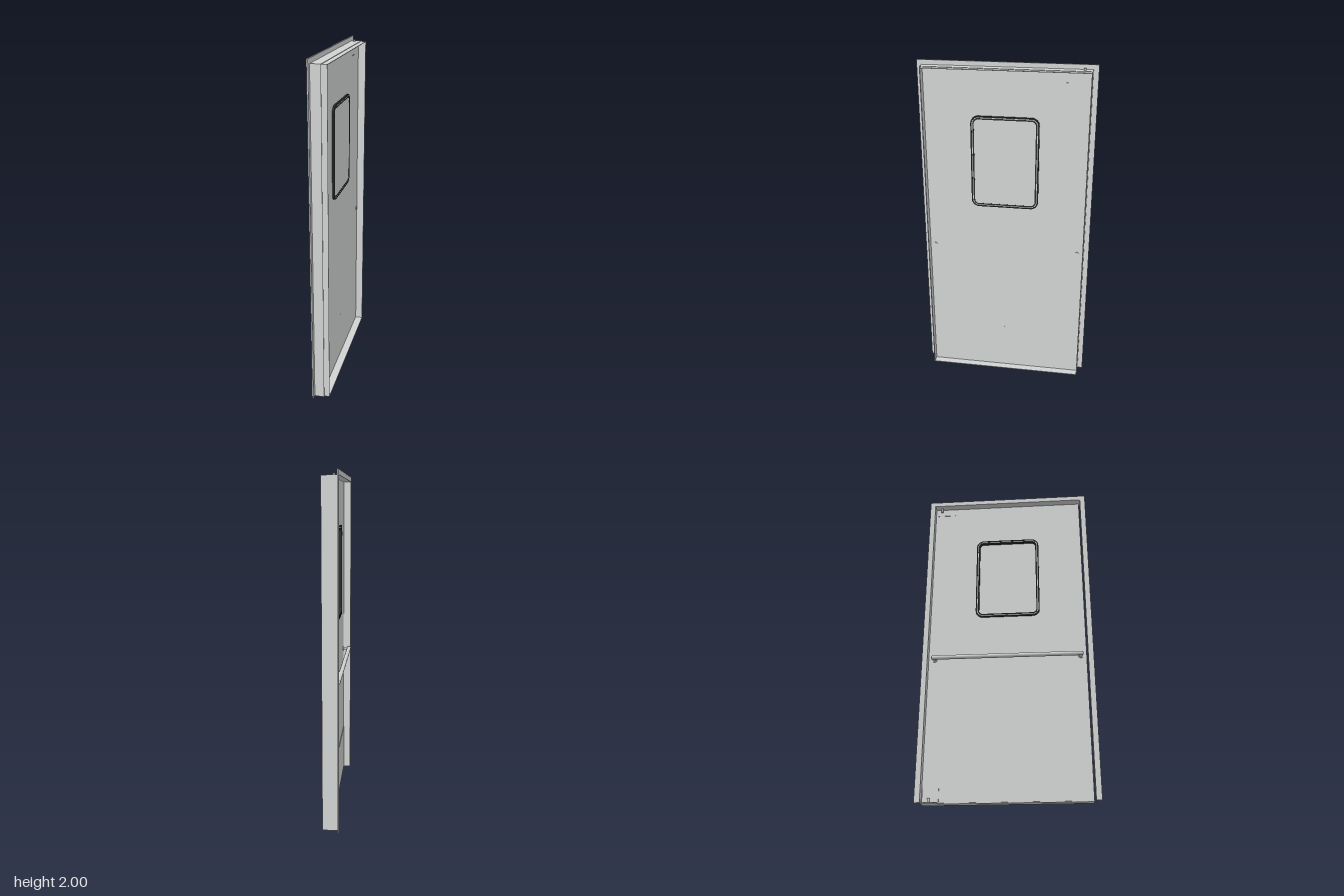
import * as THREE from 'three';

export function createModel() {
  const model = new THREE.Group();
  const material = (name, color) => {
    const m = new THREE.MeshStandardMaterial({ color });
    m.name = name;
    return m;
  };
  const steel = material('satin steel', 0xd1d3d2);
  const rubber = material('black rubber', 0x2c2c2c);

  const add = (name, geometry, parent, mat = steel) => {
    const mesh = new THREE.Mesh(geometry, mat);
    mesh.name = name;
    parent.add(mesh);
    return mesh;
  };
  const group = (name) => {
    const g = new THREE.Group();
    g.name = name;
    model.add(g);
    return g;
  };
  // Box given by its minimum and maximum on each axis
  const box = (name, x0, x1, y0, y1, z0, z1, parent) => {
    const mesh = add(name, new THREE.BoxGeometry(x1 - x0, y1 - y0, z1 - z0), parent);
    mesh.position.set((x0 + x1) / 2, (y0 + y1) / 2, (z0 + z1) / 2);
    return mesh;
  };
  // Cylinder along one axis
  const rod = (name, axis, r, length, x, y, z, parent) => {
    const g = new THREE.CylinderGeometry(r, r, length, 24);
    if (axis === 'x') g.rotateZ(Math.PI / 2);
    if (axis === 'z') g.rotateX(Math.PI / 2);
    const mesh = add(name, g, parent);
    mesh.position.set(x, y, z);
    return mesh;
  };
  // Rounded rectangle centred on (0, cy)
  const roundedRect = (Type, w, h, r, cy) => {
    const p = new Type();
    const x = w / 2 - r, y = h / 2 - r;
    p.absarc(x, cy + y, r, 0, Math.PI / 2);
    p.absarc(-x, cy + y, r, Math.PI / 2, Math.PI);
    p.absarc(-x, cy - y, r, Math.PI, Math.PI * 1.5);
    p.absarc(x, cy - y, r, Math.PI * 1.5, Math.PI * 2);
    p.closePath();
    return p;
  };
  // Plate cut from a shape drawn in (-z, y), spanning x0 to x1
  const plate = (name, shape, x0, x1, parent, mat) => {
    const g = new THREE.ExtrudeGeometry(shape, { depth: x1 - x0, bevelEnabled: false, curveSegments: 8 });
    g.rotateY(Math.PI / 2);
    add(name, g, parent, mat).position.x = x0;
  };

  // Fixed frame: sheet jambs and header, with a flange around the back edge
  const frame = group('frame');
  for (const s of [-1, 1]) {
    const span = (a, b) => (s > 0 ? [a, b] : [-b, -a]);
    box('jamb', -0.046, 0.02, 0, 1.973, ...span(0.4825, 0.485), frame);
    box('jambFlange', -0.046, -0.038, 0, 2, ...span(0.4835, 0.515), frame);
  }
  box('header', -0.046, 0.02, 1.9705, 1.973, -0.485, 0.485, frame);
  box('headerFlange', -0.046, -0.038, 1.9715, 2, -0.4835, 0.4835, frame);

  // Door leaf: a thin sheet with a folded rim on its +x side
  const door = group('door');
  const zBack = -0.482, zFront = 0.475, top = 1.97, windowY = 1.423;
  const leaf = new THREE.Shape();
  leaf.moveTo(-zFront, 0);
  leaf.lineTo(-zBack, 0);
  leaf.lineTo(-zBack, top);
  leaf.lineTo(-zFront, top);
  leaf.closePath();
  leaf.holes.push(roundedRect(THREE.Path, 0.37, 0.525, 0.03, windowY));
  plate('doorPanel', leaf, 0, 0.003, door);
  box('topRim', 0, 0.05, top - 0.003, top, zBack, zFront, door);
  box('bottomRim', 0, 0.05, 0, 0.003, zBack, zFront, door);
  box('hingeRim', 0, 0.05, 0, top, zBack, zBack + 0.003, door);
  box('latchRim', 0, 0.05, 0, top, zFront - 0.003, zFront, door);
  box('kickPlate', -0.003, 0, 0.004, 0.3, zBack + 0.004, zFront - 0.004, door);
  rod('kickPlateScrew', 'x', 0.003, 0.003, 0.004, 0.295, 0, door);

  // Window: two rubber beads with a steel strip between them, around a flat pane
  const windowGroup = group('window');
  const ring = (name, inset, t, x0, x1, mat) => {
    const w = 0.4 - 2 * inset, h = 0.555 - 2 * inset, r = 0.045 - inset;
    const shape = roundedRect(THREE.Shape, w, h, r, windowY);
    shape.holes.push(roundedRect(THREE.Path, w - 2 * t, h - 2 * t, r - t, windowY));
    plate(name, shape, x0, x1, windowGroup, mat);
  };
  ring('outerGasket', 0, 0.008, -0.01, 0.014, rubber);
  ring('gasketStrip', 0.008, 0.004, -0.009, 0.013, steel);
  ring('innerGasket', 0.012, 0.008, -0.01, 0.014, rubber);
  plate('pane', roundedRect(THREE.Shape, 0.36, 0.515, 0.025, windowY), 0.008, 0.013, windowGroup);

  // Push bar with standoffs and through bolts
  const bar = group('pushBar');
  const barY = 0.867;
  rod('barTube', 'z', 0.013, 0.9, -0.038, barY, -0.003, bar);
  for (const z of [-0.445, 0.44]) {
    rod('barStandoff', 'x', 0.01, 0.04, -0.02, barY, z, bar);
    rod('barMountPlate', 'x', 0.016, 0.004, -0.002, barY, z, bar);
    rod('barBolt', 'x', 0.01, 0.006, 0.005, barY, z, bar);
  }
  for (const z of [-0.453, 0.447]) {
    const cap = add('barEnd', new THREE.SphereGeometry(0.013, 16, 12), bar);
    cap.position.set(-0.038, barY, z);
    cap.scale.z = 0.6;
  }

  // Pivot hinge at top and bottom of the hinge side
  const pivot = group('pivotHinge');
  rod('topPivotPin', 'y', 0.007, 0.04, -0.015, 1.963, -0.44, pivot);
  box('topPivotPlate', -0.003, 0, 1.92, 1.95, -0.47, -0.35, pivot);
  box('topPivotBacking', 0.003, 0.005, 1.902, 1.906, -0.38, -0.31, pivot);
  box('bottomPivotBracket', -0.008, -0.003, 0.01, 0.085, -0.478, -0.385, pivot);
  rod('bottomPivotPin', 'y', 0.007, 0.03, -0.015, 0.015, -0.44, pivot);
  box('floorPlate', -0.034, 0, 0, 0.005, -0.48, -0.39, pivot);

  return model;
}
